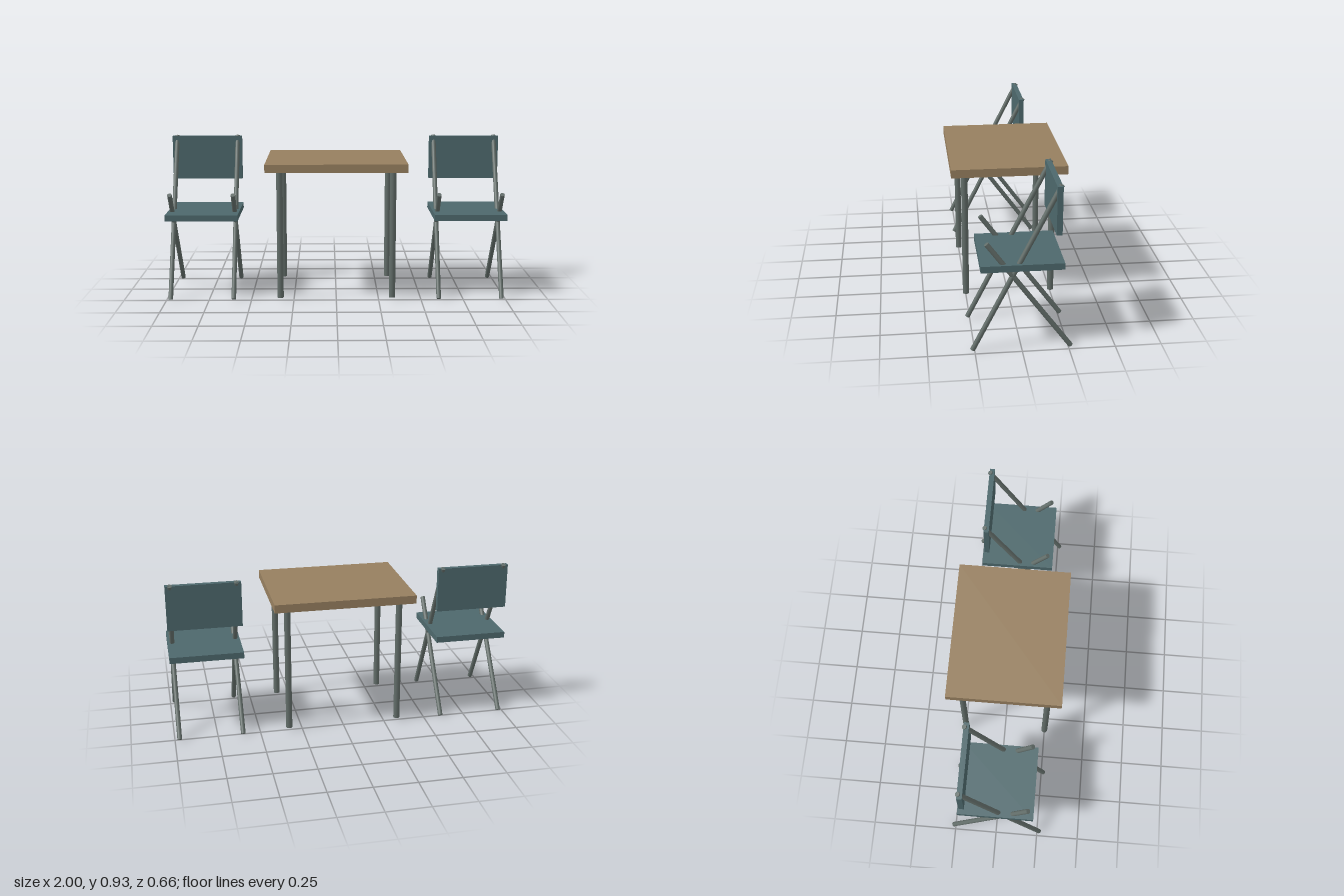
import * as THREE from 'three';

const wood = new THREE.MeshStandardMaterial({ color: 0x967f5f });
const teal = new THREE.MeshStandardMaterial({ color: 0x4d686c });
const metal = new THREE.MeshStandardMaterial({ color: 0x626d69 });

function addBox(parent, name, material, size, position) {
  const mesh = new THREE.Mesh(new THREE.BoxGeometry(...size), material);
  mesh.name = name;
  mesh.position.set(...position);
  parent.add(mesh);
}

// Capped round bar between two points
function addBar(parent, name, from, to, radius) {
  const a = new THREE.Vector3(...from);
  const b = new THREE.Vector3(...to);
  const dir = b.clone().sub(a);
  const mesh = new THREE.Mesh(new THREE.CylinderGeometry(radius, radius, dir.length(), 16), metal);
  mesh.name = name;
  mesh.position.copy(a).add(b).multiplyScalar(0.5);
  mesh.quaternion.setFromUnitVectors(new THREE.Vector3(0, 1, 0), dir.normalize());
  parent.add(mesh);
}

function createTable() {
  const table = new THREE.Group();
  table.name = 'table';
  addBox(table, 'tableTop', wood, [0.818, 0.048, 0.656], [0, 0.792, 0]);
  for (const x of [-0.328, 0.328]) {
    for (const z of [-0.25, 0.25]) {
      addBar(table, 'tableLeg', [x, 0.018, z], [x, 0.77, z], 0.0185);
    }
  }
  return table;
}

function createChair() {
  const chair = new THREE.Group();
  chair.name = 'foldingChair';
  addBox(chair, 'seat', teal, [0.424, 0.036, 0.436], [0, 0.486, 0]);
  addBox(chair, 'backrest', teal, [0.424, 0.263, 0.03], [0, 0.7915, -0.185]);
  for (const x of [-0.185, 0.185]) {
    // Long bar runs from the front foot up to the backrest, the short one crosses it
    addBar(chair, 'backBar', [x, 0.011, 0.262], [x, 0.924, -0.197], 0.0137);
    addBar(chair, 'crossBar', [x, 0.008, -0.262], [x, 0.618, 0.186], 0.0137);
    // Rail half sunk into the underside of the seat
    addBar(chair, 'seatRail', [x, 0.473, -0.185], [x, 0.473, 0.185], 0.0125);
  }
  return chair;
}

export function createModel() {
  const model = new THREE.Group();
  model.name = 'tableWithFoldingChairs';
  model.add(createTable());
  for (const x of [-0.788, 0.788]) {
    const chair = createChair();
    chair.position.x = x;
    model.add(chair);
  }
  return model;
}
